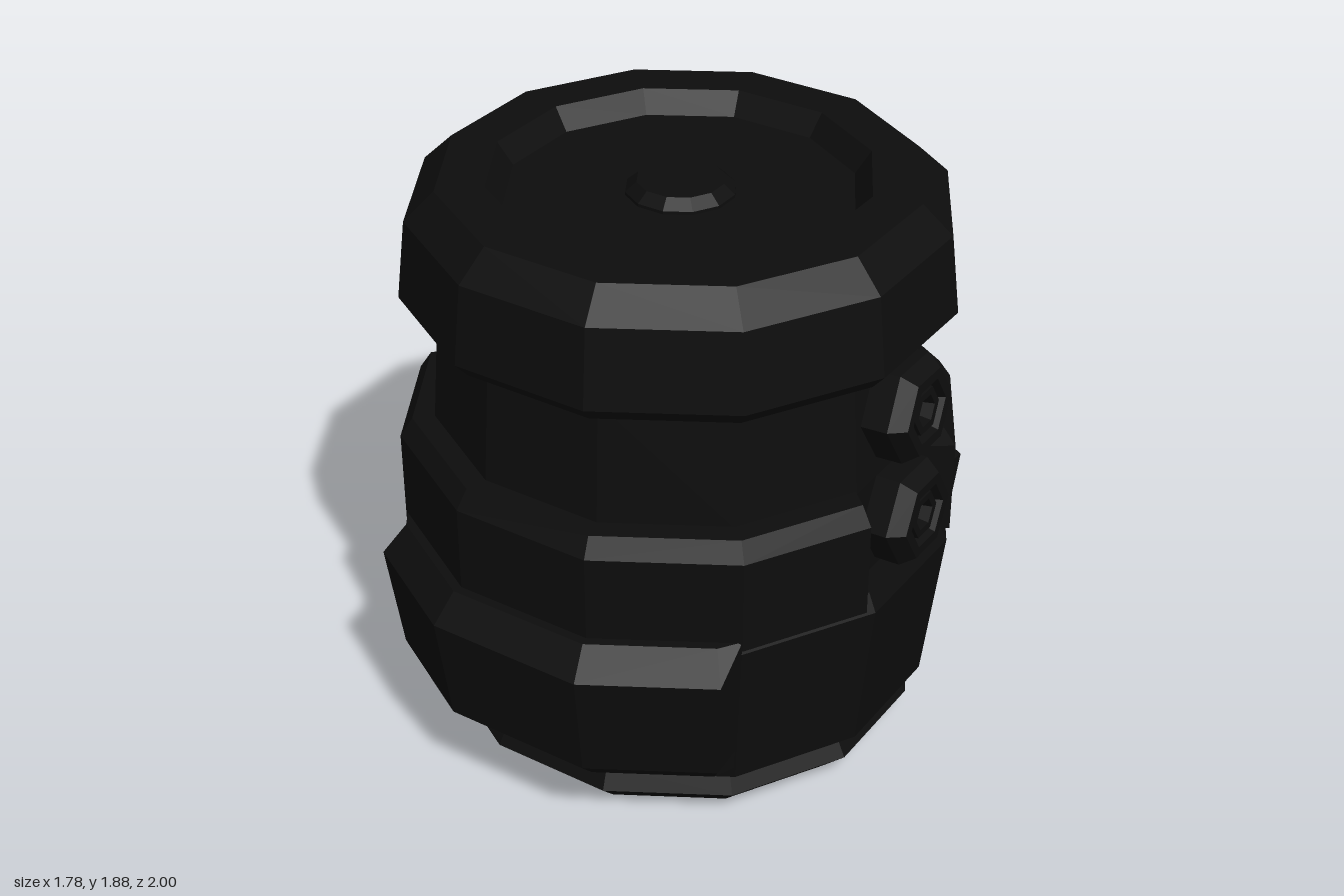
import * as THREE from 'three';

const SIDES = 12;
const rad = THREE.MathUtils.degToRad;
const black = new THREE.MeshStandardMaterial({ color: 0x0d0d0d, flatShading: true, side: THREE.DoubleSide });

function add(parent, name, geometry) {
  const mesh = new THREE.Mesh(geometry, black);
  mesh.name = name;
  parent.add(mesh);
  return mesh;
}

function lathe(points, sides = SIDES) {
  return new THREE.LatheGeometry(points.map(([r, y]) => new THREE.Vector2(r, y)), sides);
}

// Plate wrapped round the twelve-sided body from angle a to b, with sloped ends.
// The profile runs (radius, height) from bottom to top; baseAt(y) is the body radius.
function wrappedPlate(profile, a, b, slope, baseAt) {
  const angles = [a, a + slope];
  for (let t = a + 30; t < b; t += 30) angles.push(t);
  angles.push(b - slope, b);

  const pos = [], index = [], n = profile.length;
  angles.forEach((t, i) => {
    const isEnd = i === 0 || i === angles.length - 1;
    const chord = Math.cos(rad(15)) / Math.cos(rad((t % 30) - 15));
    for (const [r, y] of profile) {
      const rr = (isEnd ? Math.min(r, baseAt(y)) : r) * chord;
      pos.push(rr * Math.cos(rad(t)), y, rr * Math.sin(rad(t)));
    }
  });
  for (let i = 0; i < angles.length - 1; i++) {
    for (let k = 0; k < n - 1; k++) {
      const p = i * n + k, q = p + n;
      index.push(q, p, p + 1, q, p + 1, q + 1);
    }
  }
  const g = new THREE.BufferGeometry();
  g.setAttribute('position', new THREE.Float32BufferAttribute(pos, 3));
  g.setIndex(index);
  g.computeVertexNormals();
  return g;
}

// Place a part that faces +z onto the flat side centred at the given angle
function mount(mesh, angle, distance, y, tilt) {
  mesh.position.set(distance * Math.cos(rad(angle)), y, distance * Math.sin(rad(angle)));
  mesh.rotation.set(-tilt, rad(90 - angle), 0, 'YXZ');
}

export function createModel() {
  const model = new THREE.Group();
  model.name = 'canister';
  model.position.x = -0.01;
  const root = new THREE.Group();
  root.name = 'canisterParts';
  model.add(root);

  // Foot with hollow underside, lower body and tapered neck
  add(root, 'body', lathe([
    [0, 0.09], [0.36, 0.09], [0.54, 0], [0.69, 0], [0.78, 0.09], [0.74, 0.16],
    [0.82, 0.2], [0.88, 0.72], [0.85, 0.78], [0.79, 0.78], [0.78, 1.1], [0.75, 1.5],
  ]));

  // Lid with sunken top and central button
  add(root, 'lid', lathe([
    [0.7, 1.49], [0.82, 1.49], [0.865, 1.54], [0.835, 1.79], [0.74, 1.88],
    [0.59, 1.88], [0.54, 1.81], [0, 1.81],
  ]));
  add(root, 'lidButton', lathe([[0.17, 1.8], [0.17, 1.82], [0.135, 1.85], [0, 1.85]]));

  // Middle bands and lower guard plates, one of each per half
  const band = wrappedPlate(
    [[0.78, 0.74], [0.89, 0.74], [0.89, 1.05], [0.85, 1.11], [0.74, 1.11]],
    30, 180, 2.5, () => 0.77);
  const guard = wrappedPlate(
    [[0.78, 0.24], [0.87, 0.24], [0.95, 0.32], [1, 0.68], [0.92, 0.77], [0.8, 0.77]],
    60, 150, 5, (y) => 0.82 + (y - 0.24) * 0.12);
  for (const [half, turn] of [['front', 0], ['back', Math.PI]]) {
    add(root, half + 'Band', band).rotation.y = turn;
    add(root, half + 'GuardPlate', guard).rotation.y = turn;
  }

  // Two hexagonal nuts on the left side
  const nut = lathe([
    [0.17, -0.06], [0.17, 0.08], [0.135, 0.13], [0.1, 0.13], [0.08, 0.09],
    [0.075, 0.12], [0.05, 0.12], [0.04, 0.08], [0, 0.08],
  ], 6).rotateY(Math.PI / 6).rotateX(Math.PI / 2);
  mount(add(root, 'upperNut', nut), 15, 0.745, 1.315, 0.07);
  mount(add(root, 'lowerNut', nut), 15, 0.76, 0.955, 0.04);

  // Bevelled bar on the opposite side
  const bar = new THREE.BoxGeometry(0.19, 0.7, 0.16);
  const p = bar.attributes.position;
  for (let i = 0; i < p.count; i++) {
    if (p.getZ(i) > 0) p.setXY(i, p.getX(i) * 0.55, p.getY(i) * 0.88);
  }
  bar.computeVertexNormals();
  mount(add(root, 'sideBar', bar), 195, 0.805, 1.13, 0.05);

  return model;
}
